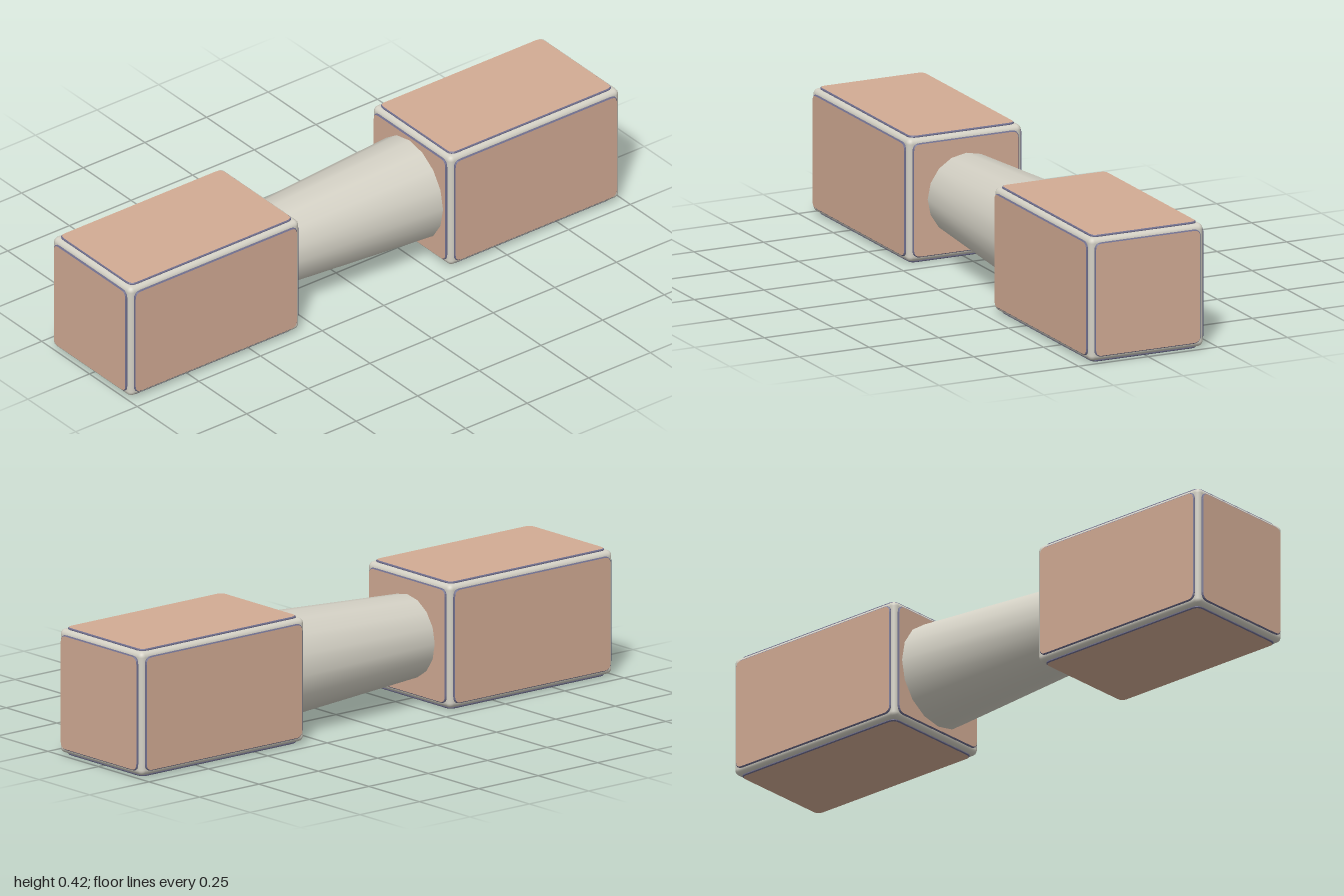
import * as THREE from 'three';
import { RoundedBoxGeometry } from 'three/addons/geometries/RoundedBoxGeometry.js';

const mat = (name, color) => {
  const m = new THREE.MeshStandardMaterial({ color });
  m.name = name;
  return m;
};

const HALF = 0.205;        // half width and height of a weight block
const HALF_LENGTH = 0.345; // half length of a weight block
const RAISE = 0.006;       // how far the panels stand proud
const MARGIN = 0.019;      // frame left showing beside a panel

// Raised panel facing +z: tan face, slate bevelled rim
function panelGeometry(halfW, halfH) {
  const bevel = 0.003, r = 0.022;
  const w = halfW - MARGIN + 0.001, h = halfH - MARGIN + 0.001;
  const s = new THREE.Shape();
  s.moveTo(-w + r, -h);
  s.lineTo(w - r, -h);
  s.quadraticCurveTo(w, -h, w, -h + r);
  s.lineTo(w, h - r);
  s.quadraticCurveTo(w, h, w - r, h);
  s.lineTo(-w + r, h);
  s.quadraticCurveTo(-w, h, -w, h - r);
  s.lineTo(-w, -h + r);
  s.quadraticCurveTo(-w, -h, -w + r, -h);
  const g = new THREE.ExtrudeGeometry(s, {
    depth: 0.003, bevelEnabled: true, bevelThickness: bevel,
    bevelSize: bevel, bevelSegments: 1, curveSegments: 4,
  });
  g.computeBoundingBox();
  return g.translate(0, 0, -g.boundingBox.max.z + RAISE);
}

export function createModel() {
  const cream = mat('cream', 0xd3d0c4);
  const tan = mat('tan', 0xd2ab94);
  const slate = mat('slate', 0x6e6d8c);

  const model = new THREE.Group();
  model.name = 'dumbbell';

  const frameGeo = new RoundedBoxGeometry(HALF * 2, HALF * 2, HALF_LENGTH * 2, 3, 0.018);
  const endGeo = panelGeometry(HALF, HALF);
  const sideGeo = panelGeometry(HALF_LENGTH, HALF);
  const capGeo = panelGeometry(HALF, HALF_LENGTH);

  // Two weight blocks, each with a panel on all six faces
  for (const [name, side] of [['frontWeight', 1], ['backWeight', -1]]) {
    const block = new THREE.Group();
    block.name = name;
    block.position.set(0, HALF + RAISE, side * (1 - RAISE - HALF_LENGTH));
    const frame = new THREE.Mesh(frameGeo, cream);
    frame.name = 'frame';
    block.add(frame);

    const addPanel = (label, geo, rx, ry, x, y, z) => {
      const p = new THREE.Mesh(geo, [tan, slate]);
      p.name = label;
      p.rotation.set(rx, ry, 0);
      p.position.set(x, y, z);
      block.add(p);
    };
    const q = Math.PI / 2;
    addPanel('frontPanel', endGeo, 0, 0, 0, 0, HALF_LENGTH);
    addPanel('backPanel', endGeo, 0, Math.PI, 0, 0, -HALF_LENGTH);
    addPanel('leftPanel', sideGeo, 0, q, HALF, 0, 0);
    addPanel('rightPanel', sideGeo, 0, -q, -HALF, 0, 0);
    addPanel('topPanel', capGeo, -q, 0, 0, HALF, 0);
    addPanel('bottomPanel', capGeo, q, 0, 0, -HALF, 0);
    model.add(block);
  }

  // Tapered handle, wider at the back
  const handle = new THREE.Mesh(new THREE.CylinderGeometry(0.137, 0.177, 0.64, 16), cream);
  handle.name = 'handle';
  handle.rotation.x = Math.PI / 2;
  handle.position.y = HALF + RAISE;
  model.add(handle);

  return model;
}
